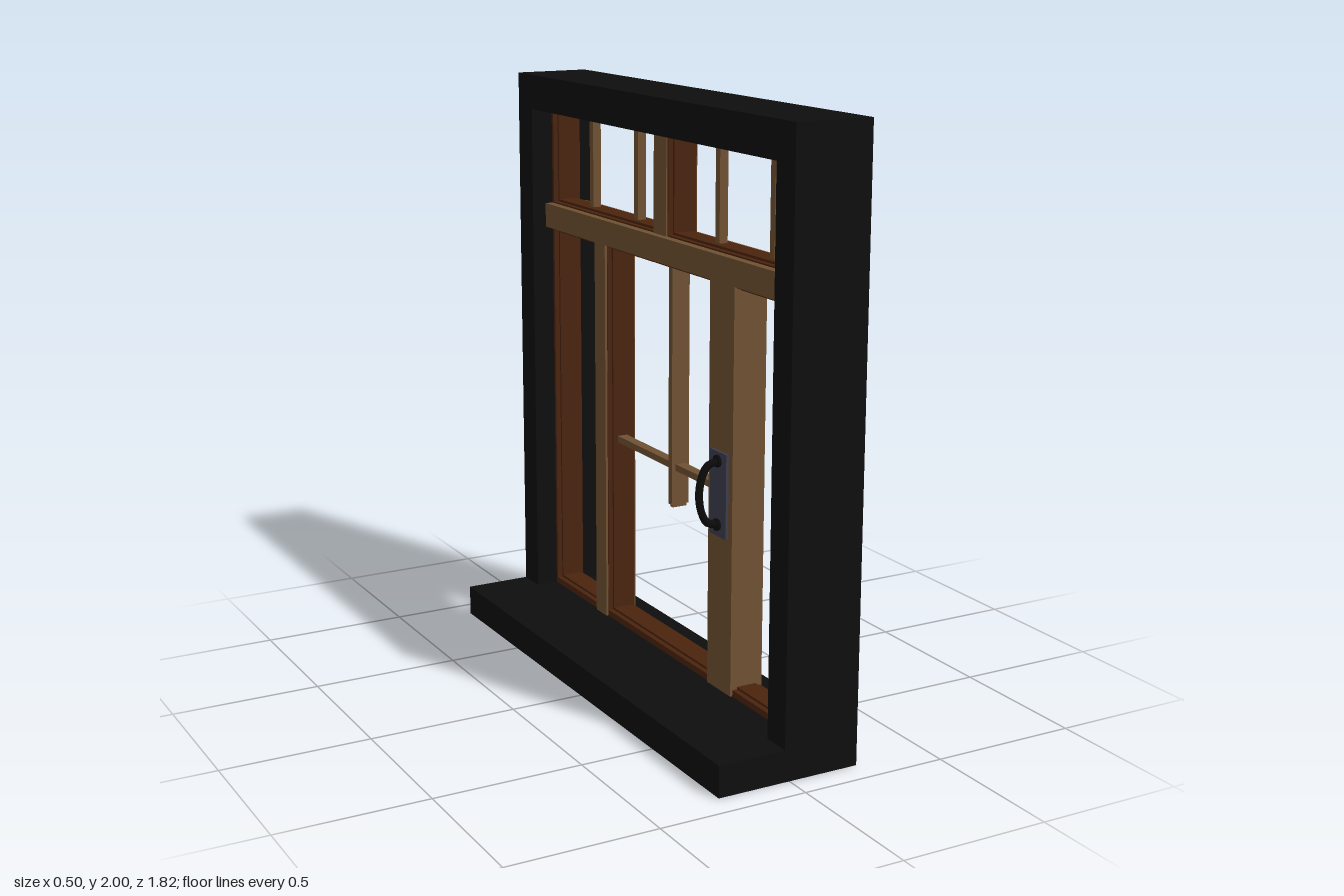
import * as THREE from 'three';

const mat = (name, color) => {
  const m = new THREE.MeshStandardMaterial({ color });
  m.name = name;
  return m;
};

export function createModel() {
  const black = mat('black frame', 0x0e0e0e);
  const wood = mat('light wood', 0x6f5132);
  const dark = mat('dark wood', 0x4a240e);
  const steel = mat('grey metal', 0x3d3d50);
  const iron = mat('black iron', 0x0b0b0b);
  const MID = 0.1125; // middle plane of the window in x
  const model = new THREE.Group();
  model.name = 'window';

  const add = (name, geo, material, parent = model) => {
    const mesh = new THREE.Mesh(geo, material);
    mesh.name = name;
    parent.add(mesh);
    return mesh;
  };
  // Box from its lower and upper limits
  const box = (name, material, x0, x1, y0, y1, z0, z1) => {
    const g = new THREE.BoxGeometry(x1 - x0, y1 - y0, z1 - z0);
    g.translate((x0 + x1) / 2, (y0 + y1) / 2, (z0 + z1) / 2);
    return add(name, g, material);
  };
  // Rectangular ring in the window plane; rects are [z0, z1, y0, y1]
  const ring = (name, material, outer, hole, x0, x1) => {
    const corners = ([z0, z1, y0, y1]) =>
      [[-z1, y0], [-z0, y0], [-z0, y1], [-z1, y1]].map(p => new THREE.Vector2(...p));
    const shape = new THREE.Shape(corners(outer));
    shape.holes.push(new THREE.Path(corners(hole).reverse()));
    const g = new THREE.ExtrudeGeometry(shape, { depth: x1 - x0, bevelEnabled: false });
    g.rotateY(Math.PI / 2);
    g.translate(x0, 0, 0);
    return add(name, g, material);
  };

  // Surround and sill
  ring('surround', black, [-0.91, 0.91, 0, 2], [-0.805, 0.81, 0.105, 1.88], -0.018, 0.245);
  box('sill', black, -0.25, -0.018, 0, 0.105, -0.91, 0.91);

  // Dark sash around each pane, with a stepped inner lip
  const panes = [
    { outer: [0.42, 0.81, 0.105, 1.46], hole: [0.465, 0.787, 0.135, 1.437] },
    { outer: [-0.41, 0.35, 0.105, 1.46], hole: [-0.376, 0.315, 0.135, 1.437] },
    { outer: [-0.805, -0.43, 0.105, 1.46], hole: [-0.785, -0.474, 0.135, 1.437] },
    { outer: [0, 0.81, 1.53, 1.88], hole: [0.05, 0.787, 1.555, 1.866] },
    { outer: [-0.805, -0.01, 1.53, 1.88], hole: [-0.785, -0.052, 1.555, 1.866] },
  ];
  for (const { outer, hole } of panes) {
    const wide = hole.map((v, i) => v + (i % 2 ? 0.008 : -0.008));
    ring('sash', dark, outer, wide, 0.06, 0.165);
    ring('sashLip', dark, outer, hole, MID - 0.035, MID + 0.035);
  }

  // Rail and posts
  box('crossRail', wood, 0.032, 0.193, 1.457, 1.542, -0.805, 0.81);
  box('widePost', wood, 0.052, 0.17, 0.106, 1.457, 0.325, 0.472);
  box('narrowPost', wood, 0.052, 0.17, 0.106, 1.457, -0.463, -0.387);
  box('upperPost', wood, 0.055, 0.17, 1.542, 1.88, -0.046, 0.037);

  // Glazing bars
  for (const z of [0.612, 0.29, -0.245, -0.57])
    box('upperBar', wood, MID - 0.015, MID + 0.015, 1.55, 1.87, z - 0.013, z + 0.013);
  box('horizontalBar', wood, MID - 0.018, MID + 0.018, 0.748, 0.771, -0.385, 0.325);
  box('verticalBar', wood, 0.08, 0.145, 0.63, 1.457, 0.013, 0.036);
  box('verticalBarTip', wood, 0.086, 0.139, 0.62, 0.63, 0.017, 0.032);

  // Handle plate and curved grip
  box('handlePlate', steel, 0.043, 0.052, 0.63, 0.91, 0.348, 0.448);
  const arc = new THREE.CatmullRomCurve3([
    [0.046, 0.67], [0.005, 0.68], [-0.017, 0.715], [-0.027, 0.775],
    [-0.017, 0.835], [0.005, 0.87], [0.046, 0.88],
  ].map(([x, y]) => new THREE.Vector3(x, y, 0.4)));
  add('handleGrip', new THREE.TubeGeometry(arc, 20, 0.013, 8), iron);
  for (const y of [0.67, 0.88]) {
    const foot = new THREE.CylinderGeometry(0.02, 0.02, 0.012, 10);
    foot.rotateZ(Math.PI / 2);
    foot.translate(0.039, y, 0.4);
    add('handleFoot', foot, iron);
  }
  return model;
}
